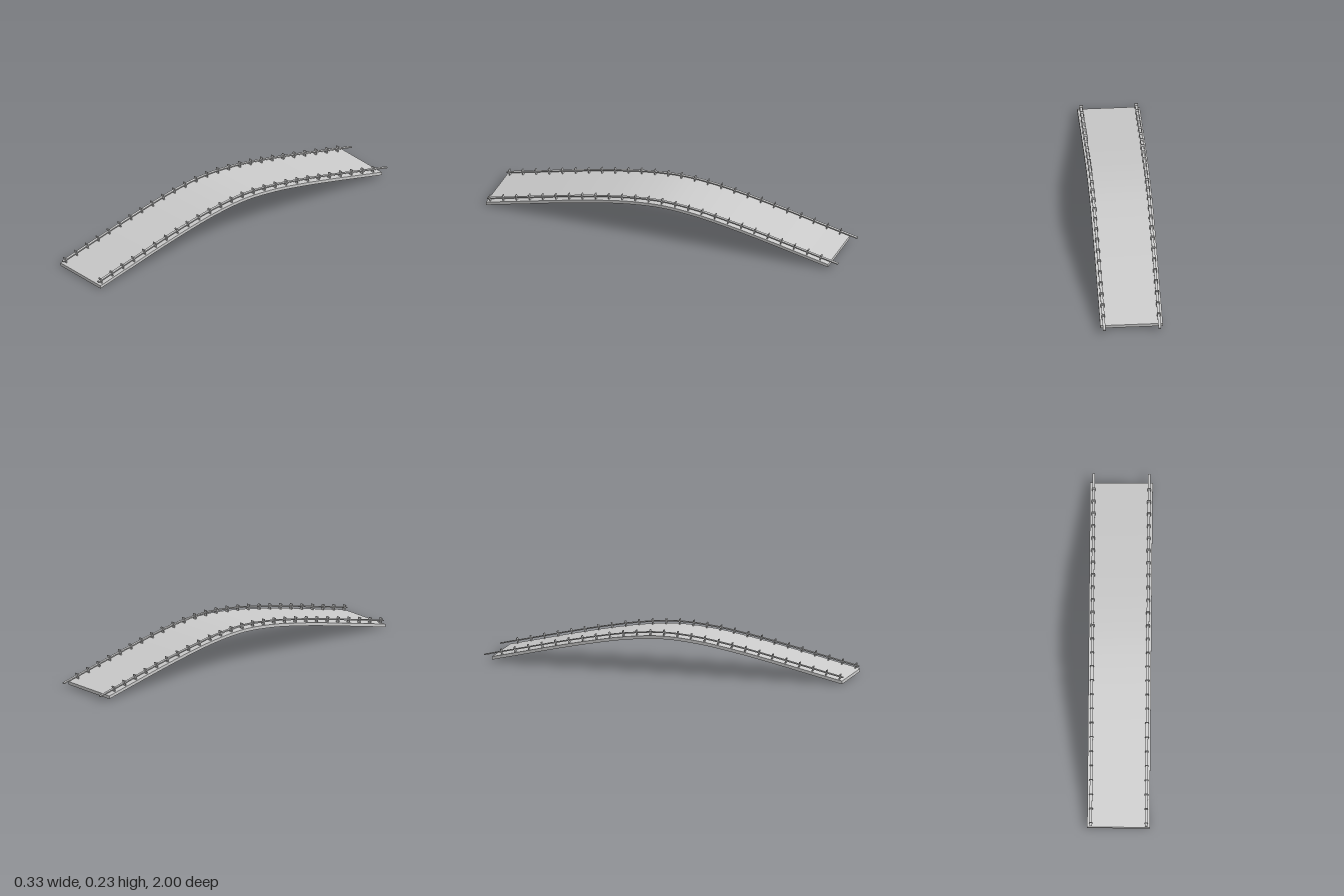
import * as THREE from 'three';
import { toCreasedNormals } from 'three/addons/utils/BufferGeometryUtils.js';

const material = new THREE.MeshStandardMaterial({ color: 0xcccccc });

// Arch profile of the walking surface, as (z, y), mirrored about the crest
const half = [[1, 0.017], [0.8, 0.063], [0.6, 0.109], [0.4, 0.151], [0.2, 0.185]];
const arch = new THREE.CatmullRomCurve3([
  ...half.map(([z, y]) => new THREE.Vector3(0, y, -z)),
  new THREE.Vector3(0, 0.2, 0),
  ...half.slice().reverse().map(([z, y]) => new THREE.Vector3(0, y, z)),
]);
const samples = arch.getPoints(300);

// Height of the arch at a given z
function heightAt(z) {
  const i = Math.max(1, samples.findIndex((p) => p.z >= z - 1e-6));
  const a = samples[i - 1], b = samples[i];
  return a.y + ((b.y - a.y) * (z - a.z)) / (b.z - a.z);
}

// Curved slab following the arch between two heights above it
function archStrip(name, width, low, high, zBack, zFront) {
  const n = 64;
  const zs = Array.from({ length: n + 1 }, (_, i) => zBack + ((zFront - zBack) * i) / n);
  const shape = new THREE.Shape([
    ...zs.map((z) => new THREE.Vector2(z, heightAt(z) + low)),
    ...zs.slice().reverse().map((z) => new THREE.Vector2(z, heightAt(z) + high)),
  ]);
  const geometry = new THREE.ExtrudeGeometry(shape, { depth: width, bevelEnabled: false });
  geometry.translate(0, 0, -width / 2).rotateY(-Math.PI / 2);
  const mesh = new THREE.Mesh(toCreasedNormals(geometry, 0.5), material);
  mesh.name = name;
  return mesh;
}

export function createModel() {
  const model = new THREE.Group();
  model.name = 'archedBridge';

  // Deck
  model.add(archStrip('deck', 0.334, -0.017, 0, -0.95, 1));

  // Rails and their upright brackets on both sides
  const postGeometry = new THREE.BoxGeometry(0.02, 0.03, 0.005);
  for (const side of [1, -1]) {
    const railing = new THREE.Group();
    railing.name = side > 0 ? 'leftRailing' : 'rightRailing';
    railing.position.x = side * 0.148;
    railing.add(archStrip('rail', 0.014, 0.013, 0.019, -1, 1));

    for (let i = 0; i < 26; i++) {
      const z = 0.98 - i * 0.0752;
      const slope = (heightAt(z + 0.015) - heightAt(z - 0.015)) / 0.03;
      const tilt = -Math.atan(slope);
      const post = new THREE.Mesh(postGeometry, material);
      post.name = 'post';
      post.rotation.x = tilt;
      post.position.set(0, heightAt(z) + 0.015 * Math.cos(tilt), z + 0.015 * Math.sin(tilt));
      railing.add(post);
    }
    model.add(railing);
  }
  return model;
}
